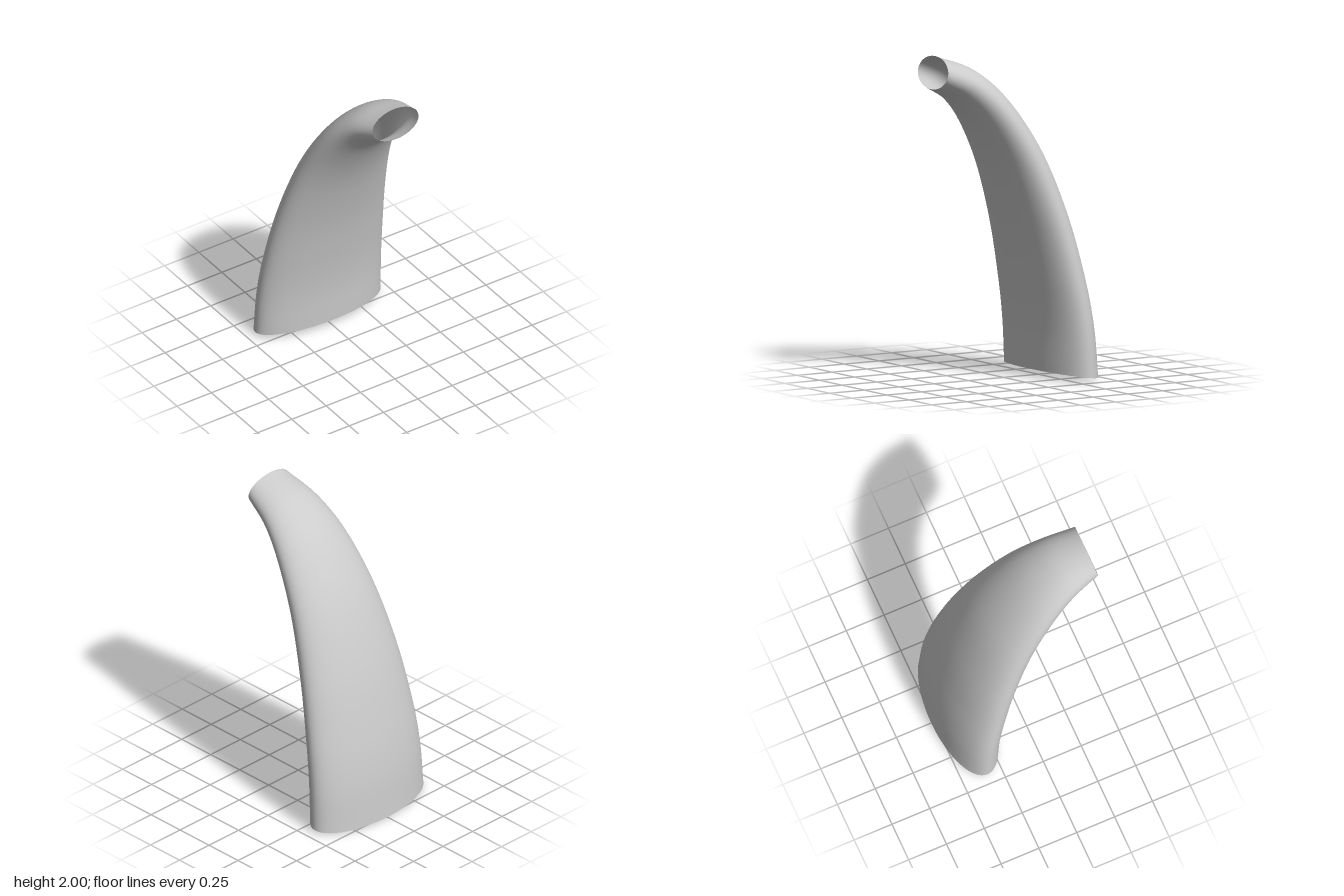
import * as THREE from 'three';

// Cross-sections from base to tip: back rail z, y, front rail z, y, half width
const SECTIONS = [
  [-0.52, 0.0, -0.165, 0.045, 0.447],
  [-0.497, 0.3, -0.148, 0.31, 0.438],
  [-0.445, 0.6, -0.107, 0.575, 0.418],
  [-0.34, 1.0, -0.03, 0.91, 0.377],
  [-0.18, 1.4, 0.087, 1.26, 0.322],
  [0.03, 1.716, 0.228, 1.535, 0.267],
  [0.244, 1.905, 0.37, 1.705, 0.214],
  [0.49, 2.0, 0.523, 1.8, 0.168],
];

const spline = (pick) =>
  new THREE.CatmullRomCurve3(SECTIONS.map((s) => new THREE.Vector3(...pick(s))), false, 'catmullrom', 0.5);

// Open shell lofted through ellipses spanning the back and front rails
function loftHorn(rows, sides) {
  const back = spline((s) => [s[4], s[1], s[0]]);
  const front = spline((s) => [s[4], s[3], s[2]]);
  const positions = [];
  const indices = [];
  for (let i = 0; i <= rows; i++) {
    const b = back.getPoint(i / rows);
    const f = front.getPoint(i / rows);
    for (let j = 0; j < sides; j++) {
      const a = (j / sides) * Math.PI * 2;
      const k = (1 + Math.cos(a)) / 2; // 0 = back rail, 1 = front rail
      positions.push(b.x * Math.sin(a), b.y + (f.y - b.y) * k, b.z + (f.z - b.z) * k);
      if (i < rows) {
        const n = (j + 1) % sides;
        const p = i * sides + j, q = i * sides + n;
        indices.push(p, q, q + sides, p, q + sides, p + sides);
      }
    }
  }
  const geometry = new THREE.BufferGeometry();
  geometry.setAttribute('position', new THREE.Float32BufferAttribute(positions, 3));
  geometry.setIndex(indices);
  geometry.computeVertexNormals();
  return geometry;
}

export function createModel() {
  const group = new THREE.Group();
  group.name = 'curvedSpout';
  const material = new THREE.MeshStandardMaterial({ color: 0xcccccc, side: THREE.DoubleSide });
  const shell = new THREE.Mesh(loftHorn(56, 64), material);
  shell.name = 'taperedShell';
  group.add(shell);
  return group;
}
